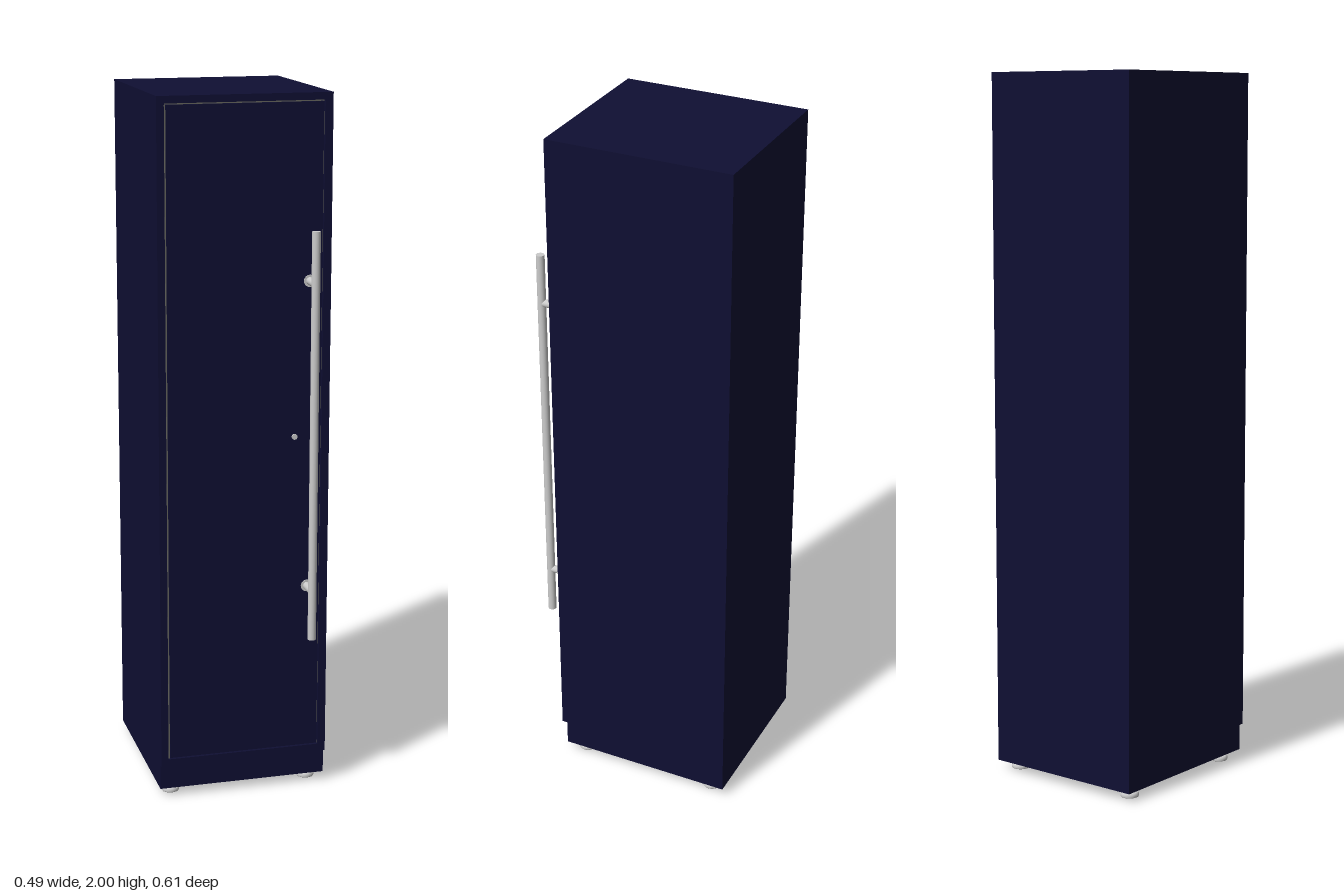
import * as THREE from 'three';

export function createModel() {
  const model = new THREE.Group();
  const navy = new THREE.MeshStandardMaterial({ color: 0x0f0f33 });
  const grey = new THREE.MeshStandardMaterial({ color: 0xcccccc });
  const seal = new THREE.MeshStandardMaterial({ color: 0x66665e });

  const add = (name, geometry, material, x, y, z, parent = model) => {
    const mesh = new THREE.Mesh(geometry, material);
    mesh.name = name;
    mesh.position.set(x, y, z);
    parent.add(mesh);
    return mesh;
  };
  // box given by its limits on each axis
  const block = (name, material, [x0, x1], [y0, y1], [z0, z1]) =>
    add(name, new THREE.BoxGeometry(x1 - x0, y1 - y0, z1 - z0), material,
      (x0 + x1) / 2, (y0 + y1) / 2, (z0 + z1) / 2);
  const rod = (name, r, length, x, y, z, parent, alongZ = false) => {
    const mesh = add(name, new THREE.CylinderGeometry(r, r, length, 32), grey, x, y, z, parent);
    if (alongZ) mesh.rotation.x = Math.PI / 2;
    return mesh;
  };
  const rectangle = (path, x, y0, y1) =>
    path.moveTo(-x, y0).lineTo(x, y0).lineTo(x, y1).lineTo(-x, y1).closePath();

  // cabinet body, with its plinth set back below the front
  block('cabinet', navy, [-0.244, 0.244], [0.026, 2], [-0.303, 0.218]);

  // front frame around the door
  const frame = rectangle(new THREE.Shape(), 0.244, 0.1, 2);
  frame.holes.push(rectangle(new THREE.Path(), 0.222, 0.122, 1.98));
  add('frontFrame', new THREE.ExtrudeGeometry(frame, { depth: 0.016, bevelEnabled: false }),
    navy, 0, 0, 0.218);

  // door and the thin seal showing in the gap around it
  block('doorSeal', seal, [-0.222, 0.222], [0.122, 1.98], [0.218, 0.224]);
  block('door', navy, [-0.218, 0.218], [0.126, 1.976], [0.22, 0.234]);
  block('hingeStrip', seal, [-0.223, -0.2195], [0.126, 1.976], [0.222, 0.236]);

  // bar handle on two standoffs
  const handle = new THREE.Group();
  handle.name = 'handle';
  model.add(handle);
  rod('handleBar', 0.012, 1.165, 0.183, 1.052, 0.29, handle);
  for (const y of [0.612, 1.49]) {
    rod('handleStandoff', 0.011, 0.056, 0.183, y, 0.262, handle, true);
    rod('handleFlange', 0.017, 0.002, 0.183, y, 0.235, handle, true);
  }

  // door lock
  rod('lock', 0.008, 0.006, 0.143, 1.052, 0.235, model, true);

  // levelling feet
  for (const x of [-0.204, 0.204]) {
    for (const z of [-0.251, 0.169]) {
      const foot = new THREE.Group();
      foot.name = 'foot';
      foot.position.set(x, 0, z);
      model.add(foot);
      const profile = [[0, 0], [0.025, 0], [0.026, 0.002], [0.026, 0.009], [0.022, 0.013],
        [0.01, 0.015], [0.01, 0.028]].map(([r, y]) => new THREE.Vector2(r, y));
      add('footPad', new THREE.LatheGeometry(profile, 32), grey, 0, 0, 0, foot);
    }
  }
  return model;
}
